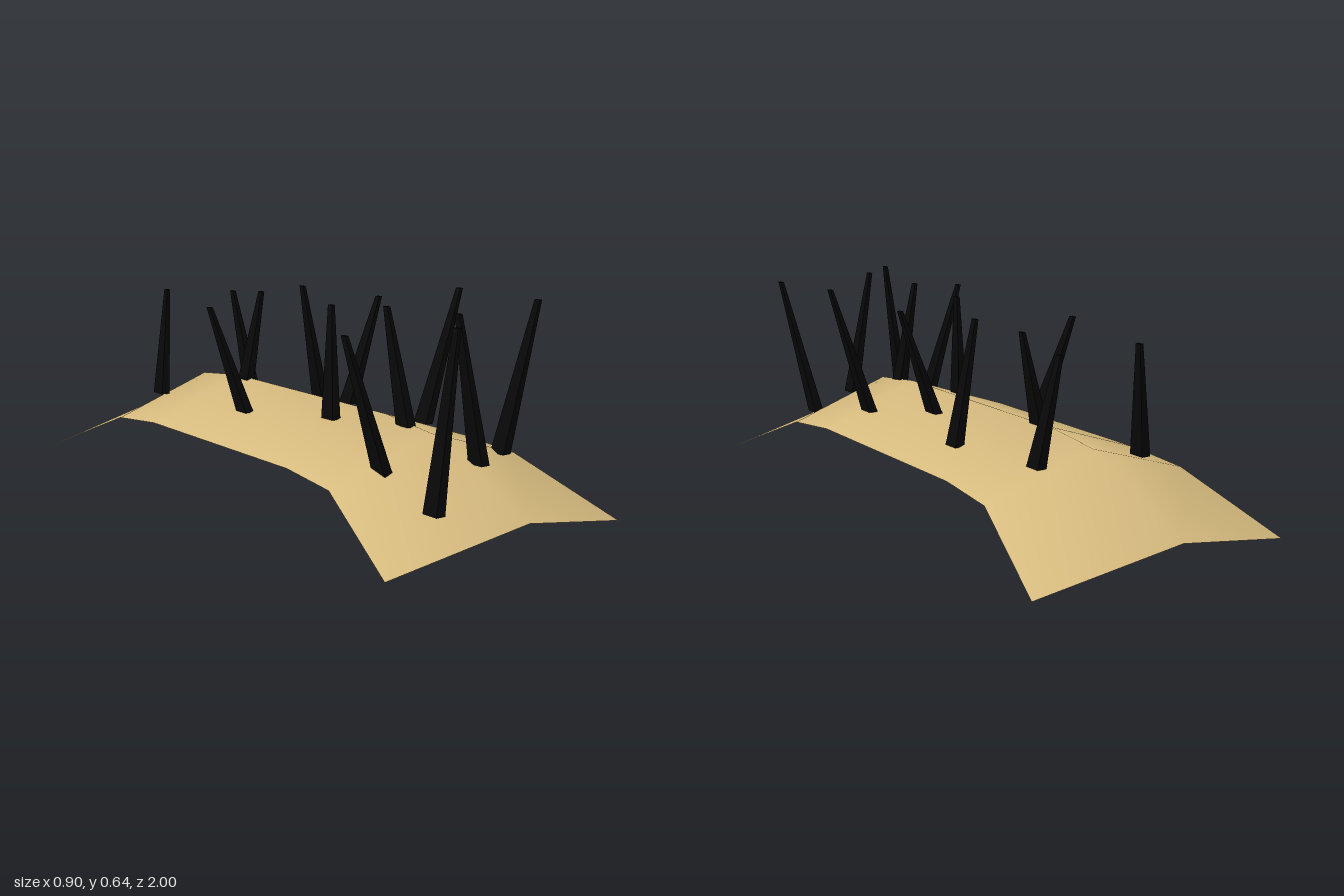
import * as THREE from 'three';

// Cross-sections of half the sheet, from the end inwards:
// [ridge z, ridge y, edge half width, edge z, edge y]
const SECTIONS = [
  [1.0, 0.09, 0.45, 0.93, 0.0],
  [0.61, 0.265, 0.363, 0.585, 0.15],
  [0.4, 0.288, 0.353, 0.375, 0.168],
];

// Spikes: [base x, y, z, tip x, y, z]
const SPIKES = [
  [-0.19, 0.215, -0.595, -0.12, 0.57, -0.66],
  [0.16, 0.22, -0.55, 0.123, 0.553, -0.605],
  [-0.005, 0.272, -0.34, 0.077, 0.578, -0.36],
  [0.21, 0.215, -0.197, 0.152, 0.605, -0.222],
  [-0.17, 0.23, -0.105, -0.255, 0.57, -0.175],
  [0.115, 0.253, 0.075, 0.232, 0.595, 0.085],
  [-0.09, 0.258, 0.245, -0.058, 0.603, 0.205],
  [0.21, 0.22, 0.335, 0.34, 0.64, 0.35],
  [-0.008, 0.27, 0.5, -0.036, 0.622, 0.44],
  [-0.2, 0.178, 0.623, -0.312, 0.58, 0.588],
  [0.267, 0.17, 0.62, 0.368, 0.633, 0.66],
  [0.055, 0.193, 0.745, -0.015, 0.63, 0.722],
  [-0.233, 0.125, 0.873, -0.175, 0.625, 0.886],
];

// Ridged sheet, bent down and flared at both ends
function createSheet() {
  const rows = [
    ...SECTIONS.map(([rz, ry, w, ez, ey]) => [-rz, ry, w, -ez, ey]),
    ...[...SECTIONS].reverse(),
  ];
  const geo = new THREE.PlaneGeometry(1, 1, 2, rows.length - 1);
  rows.forEach(([rz, ry, w, ez, ey], r) => {
    for (let c = 0; c < 3; c++) {
      const ridge = c === 1;
      geo.attributes.position.setXYZ(r * 3 + c, (c - 1) * w, ridge ? ry : ey, ridge ? rz : ez);
    }
  });
  geo.computeVertexNormals();
  const material = new THREE.MeshStandardMaterial({ color: 0xd9bd80, side: THREE.DoubleSide });
  const mesh = new THREE.Mesh(geo, material);
  mesh.name = 'bentSheet';
  return mesh;
}

// Leaning, tapered four-sided spike
function createSpike([bx, by, bz, tx, ty, tz], material) {
  const geo = new THREE.BoxGeometry(1, 1, 1);
  const p = geo.attributes.position;
  for (let i = 0; i < p.count; i++) {
    const top = p.getY(i) > 0;
    const x = p.getX(i) * (top ? 0.011 : 0.031);
    const z = p.getZ(i) * (top ? 0.02 : 0.056);
    p.setXYZ(i, x + (top ? tx : bx), top ? ty : by, z + (top ? tz : bz));
  }
  geo.computeVertexNormals();
  const mesh = new THREE.Mesh(geo, material);
  mesh.name = 'spike';
  return mesh;
}

export function createModel() {
  const model = new THREE.Group();
  model.name = 'spikedSheet';
  model.add(createSheet());

  const spikes = new THREE.Group();
  spikes.name = 'spikes';
  const black = new THREE.MeshStandardMaterial({ color: 0x080808, flatShading: true });
  for (const s of SPIKES) spikes.add(createSpike(s, black));
  model.add(spikes);
  return model;
}
